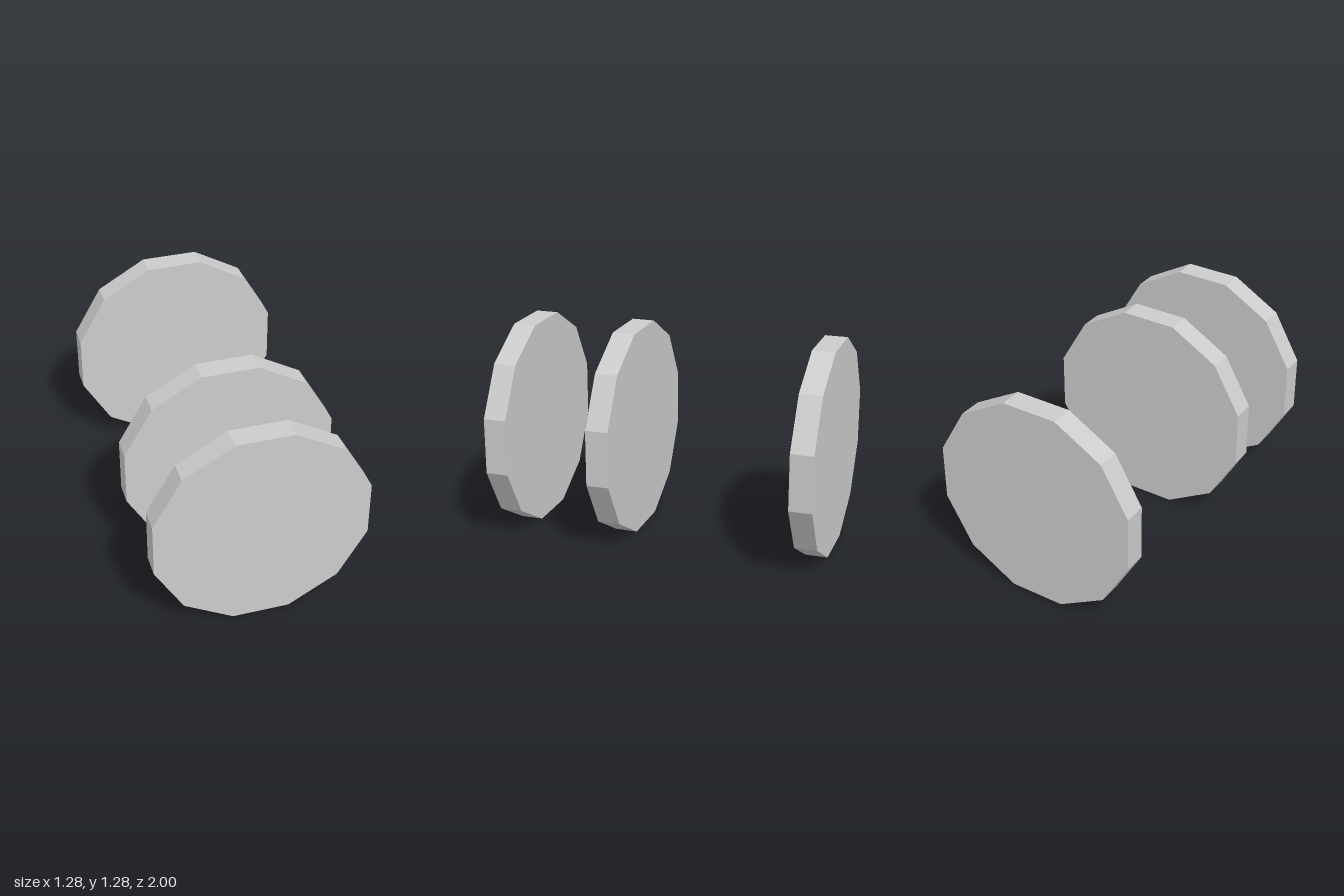
import * as THREE from 'three';

const APOTHEM = 0.638; // centre to flat
const DEPTH = 0.138;
const SIDES = 12;

export function createModel() {
  const group = new THREE.Group();
  group.name = 'discRow';
  const material = new THREE.MeshStandardMaterial({ color: 0xcccccc, flatShading: true });

  // Twelve-sided disc facing z, resting on a flat
  const radius = APOTHEM / Math.cos(Math.PI / SIDES);
  const geometry = new THREE.CylinderGeometry(radius, radius, DEPTH, SIDES, 1, false, Math.PI / SIDES);
  geometry.rotateX(Math.PI / 2);

  // Three identical discs, unevenly spaced along z
  const end = 1 - DEPTH / 2;
  const discs = { frontDisc: end, middleDisc: 0.285, backDisc: -end };
  for (const [name, z] of Object.entries(discs)) {
    const disc = new THREE.Mesh(geometry, material);
    disc.name = name;
    disc.position.set(0, APOTHEM, z);
    group.add(disc);
  }
  return group;
}
